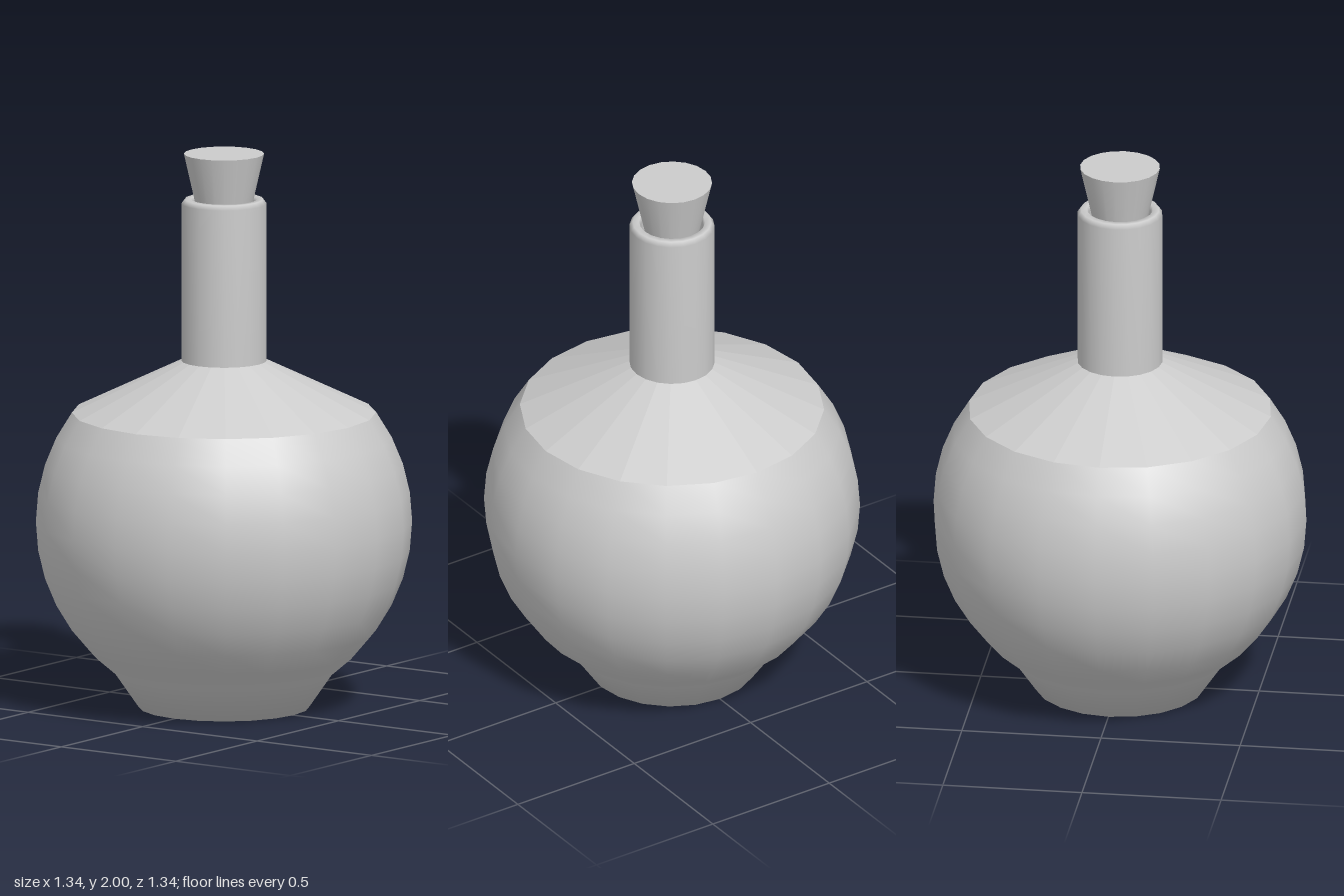
import * as THREE from 'three';

const SIDES = 20;

// Revolve a [radius, height] profile, listed from bottom to top
function lathe(name, profile, flat = false) {
  const points = profile.map(([r, y]) => new THREE.Vector2(r, y));
  const material = new THREE.MeshStandardMaterial({
    color: 0xcccccc, flatShading: flat, side: THREE.DoubleSide,
  });
  const mesh = new THREE.Mesh(new THREE.LatheGeometry(points, SIDES), material);
  mesh.name = name;
  return mesh;
}

export function createModel() {
  const group = new THREE.Group();
  group.name = 'corkedFlask';

  // Round belly on a tapered foot: sphere rings from -54 to +36 degrees
  const R = 0.67;
  const belly = [[0, 0], [0.305, 0]];
  for (let deg = -54; deg <= 36; deg += 9) {
    const a = THREE.MathUtils.degToRad(deg);
    belly.push([R * Math.cos(a), R + R * Math.sin(a)]);
  }
  const [rimRadius, rimHeight] = belly[belly.length - 1];
  group.add(lathe('belly', belly));

  // Faceted sloping shoulder
  group.add(lathe('shoulder', [[rimRadius, rimHeight], [0.152, 1.252]], true));

  // Neck with a bevelled lip and a hollow mouth
  group.add(lathe('neck', [
    [0.152, 1.252], [0.152, 1.82], [0.14, 1.836], [0.118, 1.836], [0.112, 1.82], [0.112, 1.7],
  ]));

  // Tapered stopper, its lower end inside the neck
  const cork = new THREE.Mesh(
    new THREE.CylinderGeometry(0.143, 0.075, 0.3, SIDES),
    new THREE.MeshStandardMaterial({ color: 0xcccccc }),
  );
  cork.name = 'stopper';
  cork.position.y = 1.85;
  group.add(cork);

  return group;
}
